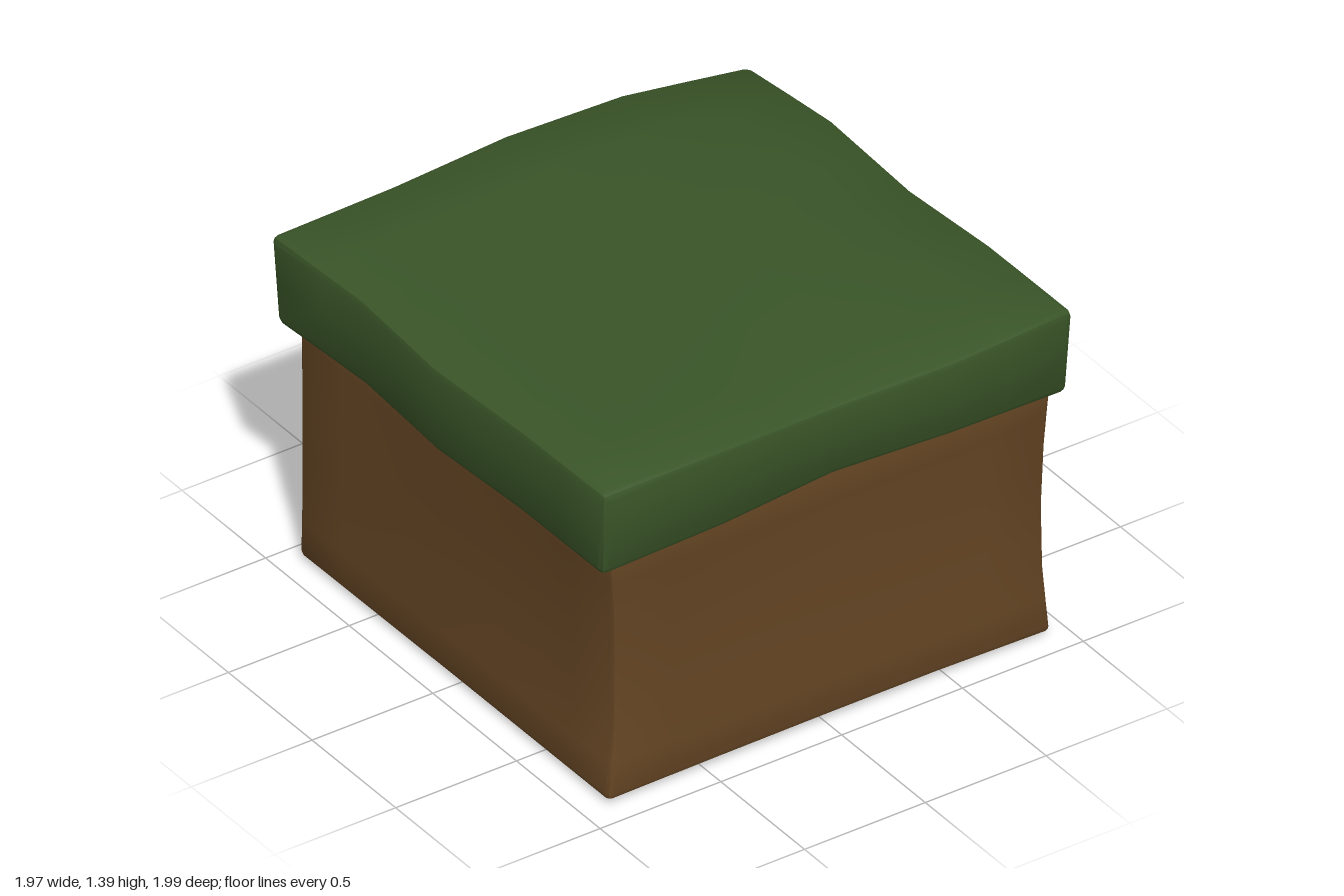
import * as THREE from 'three';
import { toCreasedNormals } from 'three/addons/utils/BufferGeometryUtils.js';

const { lerp, clamp } = THREE.MathUtils;

// Value at t (-1..1) along a list of evenly spaced knots.
function along(knots, t) {
  const f = clamp((t + 1) / 2, 0, 1) * (knots.length - 1);
  const i = Math.min(Math.floor(f), knots.length - 2);
  return lerp(knots[i], knots[i + 1], f - i);
}

// Value at (u, v) on a grid of rows: v picks the row (back to front), u the column.
const onGrid = (rows, u, v) => along(rows.map(row => along(row, u)), v);

// Box with narrow bevelled edges; warp(u, v, w) maps its -1..1 space to the final point.
function warpedBlock(size, bevel, segments, warp) {
  const half = size.map(s => s / 2);
  const geo = new THREE.BoxGeometry(2, 2, 2, ...segments.map(n => n + 2));
  const pos = geo.attributes.position;
  const inner = new THREE.Vector3(), offset = new THREE.Vector3();
  for (let i = 0; i < pos.count; i++) {
    [pos.getX(i), pos.getY(i), pos.getZ(i)].forEach((c, k) => {
      // outermost cell on each side becomes the bevel
      const n = segments[k], limit = half[k] - bevel;
      const p = Math.abs(c) > 0.9999 ? c * half[k] : c * (n + 2) / n * limit;
      const q = clamp(p, -limit, limit);
      inner.setComponent(k, q);
      offset.setComponent(k, p - q);
    });
    inner.add(offset.setLength(bevel));
    pos.setXYZ(i, ...warp(inner.x / half[0], inner.y / half[1], inner.z / half[2]));
  }
  geo.deleteAttribute('uv');
  return toCreasedNormals(geo, 0.5);
}

// Grass slab: uneven top, wavy outline, slightly narrower towards its underside
const grassTop = [
  [1.325, 1.345, 1.36, 1.35, 1.295],
  [1.325, 1.355, 1.37, 1.385, 1.345],
  [1.32, 1.35, 1.375, 1.39, 1.315],
  [1.32, 1.36, 1.37, 1.365, 1.348],
  [1.325, 1.345, 1.32, 1.33, 1.345],
];
const grassUnder = [
  [0.975, 0.99, 0.995, 0.985, 0.975],
  [0.98, 1.0, 1.0, 0.99, 0.985],
  [0.98, 1.0, 1.01, 1.0, 0.995],
  [0.98, 1.01, 1.02, 1.02, 1.02],
  [0.98, 1.015, 1.03, 1.02, 1.0],
];
function grassWarp(u, v, w) {
  const x = lerp(along([-0.985, -0.96, -0.988, -0.962, -0.96], w),
    along([0.965, 0.972, 0.975, 0.98, 0.985], w), (u + 1) / 2);
  const z = lerp(along([-0.995, -0.983, -1.0, -0.99, -0.95], u),
    along([0.965, 0.99, 0.958, 0.98, 0.965], u), (w + 1) / 2);
  const y = lerp(onGrid(grassUnder, u, w), onGrid(grassTop, u, w), (v + 1) / 2);
  return [x * lerp(0.99, 1, (v + 1) / 2), y, z * lerp(0.975, 1, (v + 1) / 2)];
}

// Soil block: walls pinched at mid height, nearly flat base; its top sits inside the grass
const soilBase = [
  [0.02, 0.015, 0.015, 0.005, 0.0],
  [0.02, 0.02, 0.015, 0.01, 0.005],
  [0.02, 0.025, 0.025, 0.025, 0.025],
  [0.02, 0.025, 0.03, 0.03, 0.03],
  [0.02, 0.025, 0.028, 0.028, 0.018],
];
const leftWall = [[-0.91, -0.905, -0.91, -0.91, -0.91], [-0.905, -0.895, -0.89, -0.9, -0.91], [-0.905, -0.87, -0.865, -0.875, -0.905]];
const rightWall = [[0.92, 0.9, 0.89, 0.9, 0.92], [0.92, 0.91, 0.9, 0.905, 0.92], [0.93, 0.912, 0.91, 0.915, 0.93]];
const backWall = [[-0.93, -0.93, -0.925, -0.925, -0.93], [-0.925, -0.905, -0.9, -0.905, -0.92], [-0.935, -0.92, -0.91, -0.915, -0.93]];
const frontWall = [[0.91, 0.895, 0.89, 0.9, 0.92], [0.91, 0.9, 0.895, 0.9, 0.915], [0.91, 0.895, 0.89, 0.9, 0.915]];
function soilWarp(u, v, w) {
  return [
    lerp(onGrid(leftWall, v, w), onGrid(rightWall, v, w), (u + 1) / 2),
    lerp(onGrid(soilBase, u, w), 1.05, (v + 1) / 2),
    lerp(onGrid(backWall, v, u), onGrid(frontWall, v, u), (w + 1) / 2),
  ];
}

export function createModel() {
  const group = new THREE.Group();
  group.name = 'groundBlock';
  const add = (name, color, geometry) => {
    const mesh = new THREE.Mesh(geometry, new THREE.MeshStandardMaterial({ color }));
    mesh.name = name;
    group.add(mesh);
  };
  add('soil', 0x664624, warpedBlock([1.84, 1.04, 1.84], 0.02, [8, 8, 8], soilWarp));
  add('grass', 0x3a5528, warpedBlock([1.96, 0.35, 1.98], 0.025, [8, 2, 8], grassWarp));
  return group;
}
